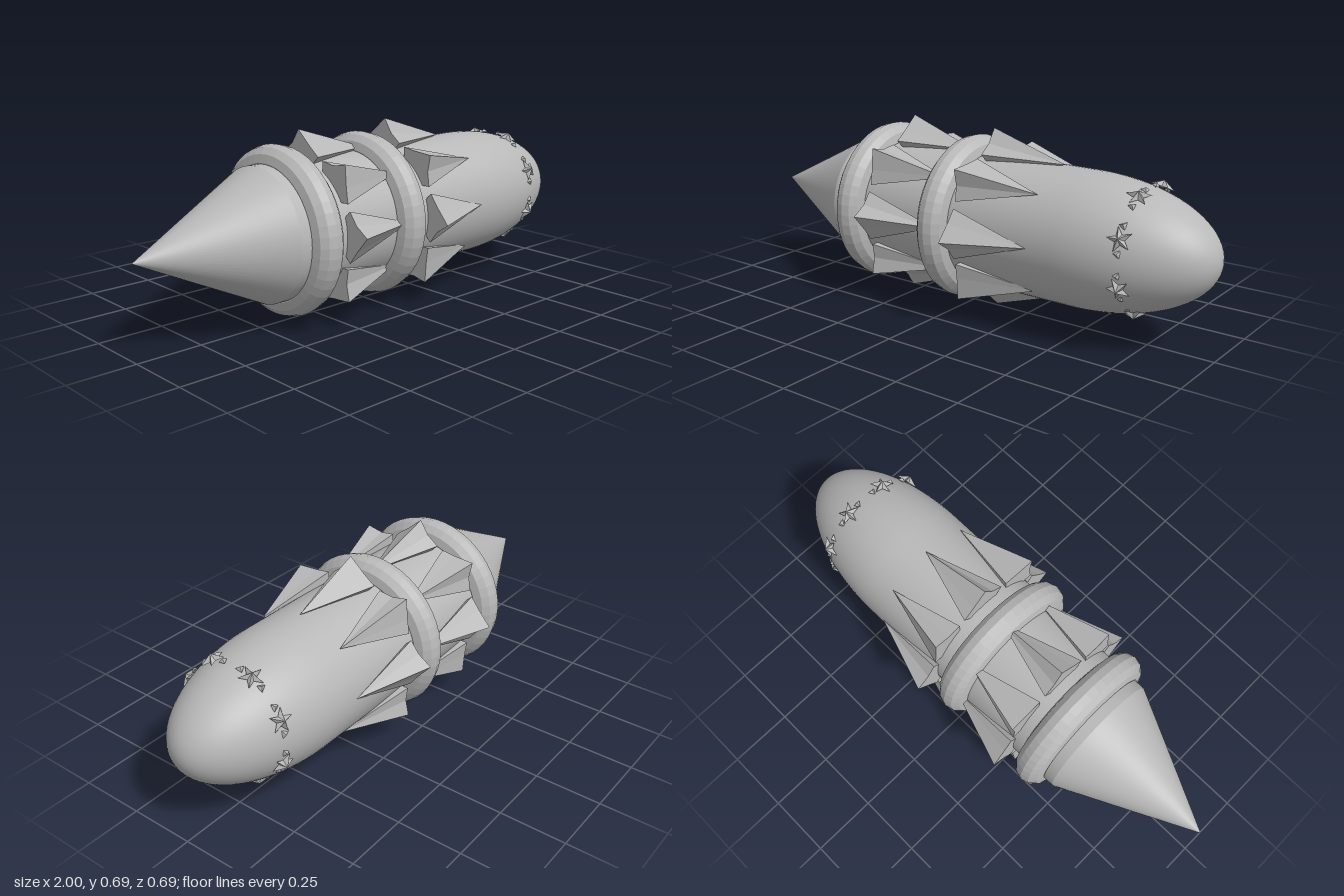
import * as THREE from 'three';

export function createModel() {
  const model = new THREE.Group();
  const grey = new THREE.MeshStandardMaterial({ color: 0xb8b8b8, side: THREE.DoubleSide });
  grey.name = 'grey';
  const R = 0.246;

  // everything is built around the x axis, then lifted
  const hull = new THREE.Group();
  hull.name = 'hull';
  hull.position.y = 0.339;
  model.add(hull);

  const add = (geometry, name, parent = hull) => {
    const mesh = new THREE.Mesh(geometry, grey);
    mesh.name = name;
    parent.add(mesh);
    return mesh;
  };
  const flat = (geometry) => {
    const g = geometry.index ? geometry.toNonIndexed() : geometry;
    g.computeVertexNormals();
    return g;
  };

  // body, pointed tail and rounded nose
  add(new THREE.CylinderGeometry(R, R, 1, 64).rotateZ(-Math.PI / 2), 'body');
  add(new THREE.ConeGeometry(R, 0.5, 64).rotateZ(Math.PI / 2).translate(-0.75, 0, 0), 'tailCone');
  add(new THREE.SphereGeometry(R, 64, 24, 0, Math.PI * 2, 0, Math.PI / 2)
    .rotateZ(-Math.PI / 2).scale(0.5 / R, 1, 1).translate(0.5, 0, 0), 'nose');

  // raised rings
  for (const x of [-0.4, 0]) {
    add(flat(new THREE.TorusGeometry(0.25, 0.06, 12, 48).rotateY(Math.PI / 2)), 'ring').position.x = x;
  }

  // pointed solid: outline of [height, side] pairs at x = 0, meeting at an apex
  const pointed = (outline, apex, centre) => {
    const p = [];
    outline.forEach(([y, z], i) => {
      const [y2, z2] = outline[(i + 1) % outline.length];
      p.push(0, y, z, ...apex, 0, y2, z2);
      p.push(0, y2, z2, ...centre, 0, y, z);
    });
    const g = new THREE.BufferGeometry();
    g.setAttribute('position', new THREE.Float32BufferAttribute(p, 3));
    return flat(g);
  };

  // regular star outline, wound so that its faces point outwards
  const starOutline = (points, outer, inner) => Array.from({ length: points * 2 }, (_, i) => {
    const a = (-i / points) * Math.PI;
    const r = i % 2 ? inner : outer;
    return [r * Math.cos(a), r * Math.sin(a)];
  });

  // place copies around the hull, on mounts set slightly above its axis
  const around = (geometry, name, start, x, radius, tilt = 0) => {
    for (let i = 0; i < 8; i++) {
      const arm = new THREE.Group();
      arm.name = name + 'Mount';
      arm.position.y = 0.006;
      arm.rotation.x = start + (i / 8) * Math.PI * 2;
      hull.add(arm);
      const mesh = add(geometry, name, arm);
      mesh.position.set(x, radius, 0);
      mesh.rotation.z = tilt;
    }
  };

  // two rows of swept spikes, tips leaning opposite ways
  for (const [x, lean] of [[-0.3, -0.013], [0.1, 0.013]]) {
    const outline = [[0.099, lean], [0.046, 0.048], [0.012, 0.093], [-0.03, 0.05],
      [-0.08, 0], [-0.03, -0.05], [0.012, -0.093], [0.046, -0.048]];
    around(pointed(outline, [0.3, 0, 0], [0, 0, 0]), 'spike', 0, x, R);
  }

  // ring of small five-pointed stars on the nose, with a shard on each side
  const star = pointed(starOutline(5, 0.045, 0.018), [0.024, 0, 0], [-0.005, 0, 0]).rotateZ(Math.PI / 2);
  const shard = pointed(starOutline(3, 0.016, 0.009), [0.012, 0, 0], [-0.005, 0, 0]).rotateZ(Math.PI / 2);
  around(star, 'noseStar', Math.PI / 8, 0.735, 0.219, -0.16);
  for (const side of [-1, 1]) {
    around(shard, 'noseShard', Math.PI / 8 + side * 0.22, 0.735, 0.217, -0.2);
  }

  return model;
}
